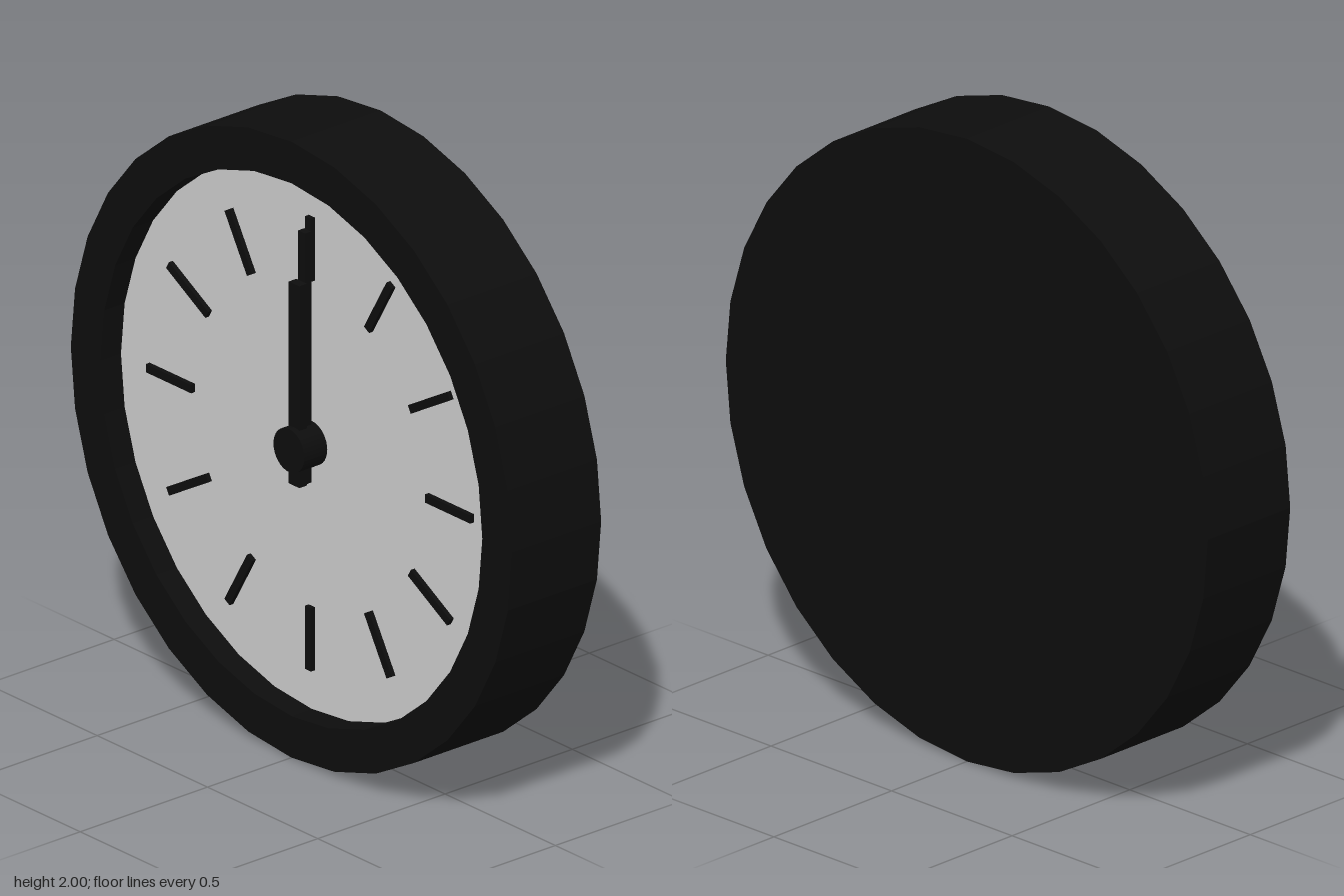
import * as THREE from 'three';

const SIDES = 32;
const black = new THREE.MeshStandardMaterial({ color: 0x0d0d0d, flatShading: true });
const white = new THREE.MeshStandardMaterial({ color: 0xdcdce0, flatShading: true });

function addMesh(parent, name, geometry, material) {
  const mesh = new THREE.Mesh(geometry, material);
  mesh.name = name;
  parent.add(mesh);
  return mesh;
}

// Upright bar from y0 to y1 and z0 to z1, centred on x = 0
function bar(width, y0, y1, z0, z1) {
  return new THREE.BoxGeometry(width, y1 - y0, z1 - z0)
    .translate(0, (y0 + y1) / 2, (z0 + z1) / 2);
}

export function createModel() {
  const clock = new THREE.Group();
  clock.name = 'wallClock';

  // Everything is built around the dial centre, then raised
  const body = new THREE.Group();
  body.name = 'clockBody';
  body.position.y = 1;
  clock.add(body);

  // Case: closed back, outer wall, front rim and inner wall down to the dial
  const profile = [[0, -0.18], [1, -0.18], [1, 0.17], [0.865, 0.17], [0.865, 0.085]]
    .map(([r, z]) => new THREE.Vector2(r, z));
  addMesh(body, 'case', new THREE.LatheGeometry(profile, SIDES).rotateX(Math.PI / 2), black);

  // Recessed dial
  addMesh(body, 'dial', new THREE.CircleGeometry(0.865, SIDES).translate(0, 0, 0.09), white);

  // Twelve hour marks
  const marks = new THREE.Group();
  marks.name = 'hourMarks';
  body.add(marks);
  for (let i = 0; i < 12; i++) {
    const mark = addMesh(marks, 'hourMark', bar(0.027, 0.53, 0.735, 0.085, 0.105), black);
    mark.rotation.z = -i * Math.PI / 6;
  }

  // Hands, both pointing to twelve
  addMesh(body, 'minuteHand', bar(0.032, -0.12, 0.695, 0.106, 0.13), black);
  addMesh(body, 'hourHand', bar(0.048, -0.12, 0.535, 0.13, 0.16), black);

  // Centre cap
  addMesh(body, 'centreCap',
    new THREE.CylinderGeometry(0.07, 0.07, 0.095, SIDES).rotateX(Math.PI / 2).translate(0, 0, 0.1325), black);

  return clock;
}
